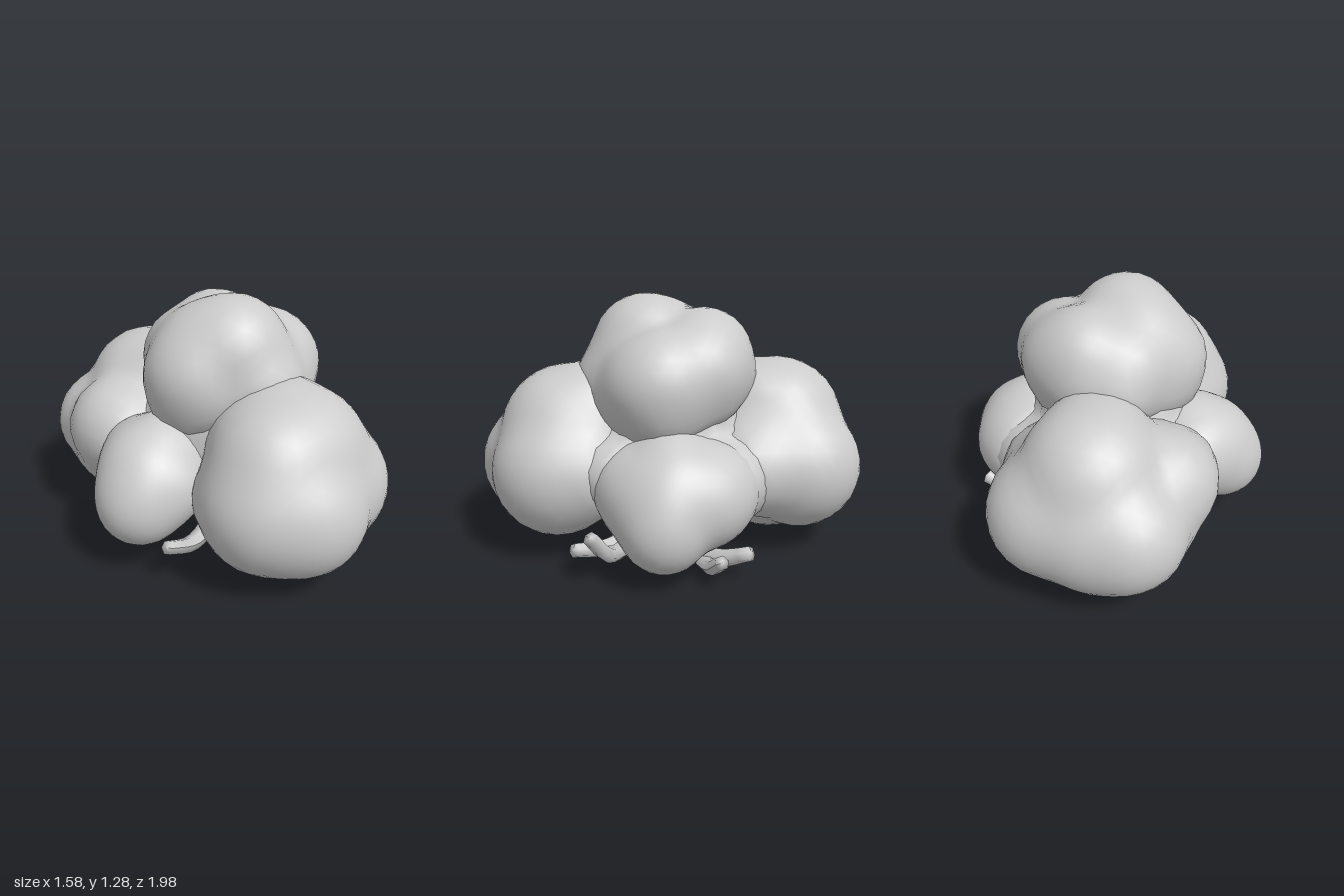
import * as THREE from 'three';
import { mergeVertices } from 'three/addons/utils/BufferGeometryUtils.js';

// Each foliage clump is a few soft spheres: [x, y, z, radius]
const CLUMPS = {
  frontFoliage: [[-0.13, 0.58, 0.54, 0.325], [0.02, 0.59, 0.53, 0.335], [-0.2, 0.42, 0.57, 0.337],
    [0.14, 0.42, 0.57, 0.33], [-0.1, 0.4, 0.67, 0.32]],
  backFoliage: [[-0.15, 0.39, -0.61, 0.355], [-0.26, 0.42, -0.7, 0.285], [-0.08, 0.42, -0.68, 0.31], [0.1, 0.42, -0.65, 0.32],
    [-0.36, 0.51, -0.42, 0.27], [-0.06, 0.61, -0.56, 0.34], [0.14, 0.45, -0.46, 0.27],
    [-0.08, 0.31, -0.52, 0.285], [-0.28, 0.37, -0.52, 0.28]],
  topFoliage: [[-0.04, 1.01, 0.12, 0.275], [-0.2, 0.9, 0.05, 0.265], [-0.12, 0.98, 0.03, 0.265], [0.26, 0.87, 0.07, 0.255],
    [0.24, 0.9, 0.02, 0.245], [0.08, 0.98, -0.16, 0.247], [-0.08, 0.93, -0.14, 0.25], [0.17, 0.93, -0.13, 0.245],
    [0.02, 0.9, 0.19, 0.245], [0.2, 0.86, 0.12, 0.235]],
  leftFoliage: [[0.46, 0.42, 0, 0.25], [0.575, 0.28, 0.05, 0.21], [0.52, 0.36, 0.03, 0.235],
    [0.46, 0.38, -0.12, 0.245], [0.45, 0.37, 0.1, 0.245]],
  rightFoliage: [[-0.5, 0.42, 0.04, 0.257], [-0.46, 0.47, 0, 0.24], [-0.575, 0.35, 0.07, 0.217]],
  // fills the hollows between the outer clumps
  coreFoliage: [[0, 0.6, 0, 0.37], [0, 0.5, 0, 0.35], [0.3, 0.42, -0.25, 0.2], [-0.34, 0.44, -0.2, 0.2], [0.28, 0.46, 0.27, 0.18]],
};

// Distance to a smooth union of spheres
function field(spheres, p, k) {
  let d = Infinity;
  for (const [x, y, z, r] of spheres) {
    const e = Math.hypot(p.x - x, p.y - y, p.z - z) - r;
    const h = Math.max(k - Math.abs(d - e), 0);
    d = Math.min(d, e) - (h > 0 ? (h * h) / (4 * k) : 0);
  }
  return d;
}

// A ball pushed out to its clump's surface, swelling a little where it meets the others
function foliageGeometry(name) {
  const spheres = CLUMPS[name];
  const others = Object.keys(CLUMPS).filter((key) => key !== name).flatMap((key) => CLUMPS[key]);
  const centre = new THREE.Vector3();
  for (const [x, y, z] of spheres) centre.add(new THREE.Vector3(x, y, z));
  centre.divideScalar(spheres.length);

  let geo = new THREE.IcosahedronGeometry(1, 7);
  geo.deleteAttribute('uv');
  geo.deleteAttribute('normal');
  geo = mergeVertices(geo, 1e-4);
  const pos = geo.attributes.position;
  const dir = new THREE.Vector3(), p = new THREE.Vector3();
  const blend = 0.17;
  for (let i = 0; i < pos.count; i++) {
    dir.fromBufferAttribute(pos, i).normalize();
    p.copy(centre);
    for (let step = 0; step < 40; step++) p.addScaledVector(dir, -field(spheres, p, 0.05));
    const gap = Math.max(field(others, p, 0.03), 0);
    p.addScaledVector(dir, Math.max(blend - gap, 0) ** 2 / (4 * blend));
    pos.setXYZ(i, p.x, p.y, p.z);
  }
  geo.computeVertexNormals();
  return geo;
}

// A tapered twig; the end rings shrink to the centreline as caps
function branchGeometry(points, r0, r1) {
  const curve = new THREE.CatmullRomCurve3(points.map((p) => new THREE.Vector3(...p)));
  const n = 10, sides = 6;
  const geo = new THREE.TubeGeometry(curve, n, 1, sides, false);
  const pos = geo.attributes.position;
  const v = new THREE.Vector3();
  for (let i = 0; i <= n; i++) {
    const c = curve.getPointAt(i / n);
    // the rings beside the ends slide out to keep the caps blunt
    const target = i === 1 ? curve.getPointAt(0.015) : i === n - 1 ? curve.getPointAt(0.985) : c;
    const r = i === 0 || i === n ? 0 : r0 + (r1 - r0) * (i / n);
    for (let j = 0; j <= sides; j++) {
      const id = i * (sides + 1) + j;
      v.fromBufferAttribute(pos, id).sub(c).multiplyScalar(r).add(target);
      pos.setXYZ(id, v.x, v.y, v.z);
    }
  }
  geo.computeVertexNormals();
  return geo;
}

export function createModel() {
  const group = new THREE.Group();
  const material = new THREE.MeshStandardMaterial({ color: 0xcccccc });
  const add = (name, geo) => {
    const mesh = new THREE.Mesh(geo, material);
    mesh.name = name;
    group.add(mesh);
  };

  for (const name of Object.keys(CLUMPS)) add(name, foliageGeometry(name));

  // Twigs poking out below the foliage, from root to tip
  const branches = {
    leftFrontBranch: [[0.1, 0.2, 0.12], [0.22, 0.08, 0.2], [0.38, 0.075, 0.27], [0.5, 0.12, 0.32], [0.62, 0.26, 0.39]],
    leftFrontTwig: [[0.2, 0.08, 0.2], [0.34, 0.08, 0.33], [0.48, 0.13, 0.48]],
    leftBackBranch: [[0.12, 0.22, -0.06], [0.28, 0.07, -0.11], [0.45, 0.044, -0.15], [0.56, 0.07, -0.18], [0.67, 0.15, -0.21]],
    leftBackTwig: [[0.38, 0.055, -0.13], [0.48, 0.08, -0.23], [0.56, 0.14, -0.36]],
    rightBranch: [[-0.1, 0.24, 0.1], [-0.28, 0.13, 0.2], [-0.42, 0.13, 0.26], [-0.61, 0.22, 0.32]],
  };
  for (const [name, pts] of Object.entries(branches)) add(name, branchGeometry(pts, 0.056, 0.033));
  return group;
}
